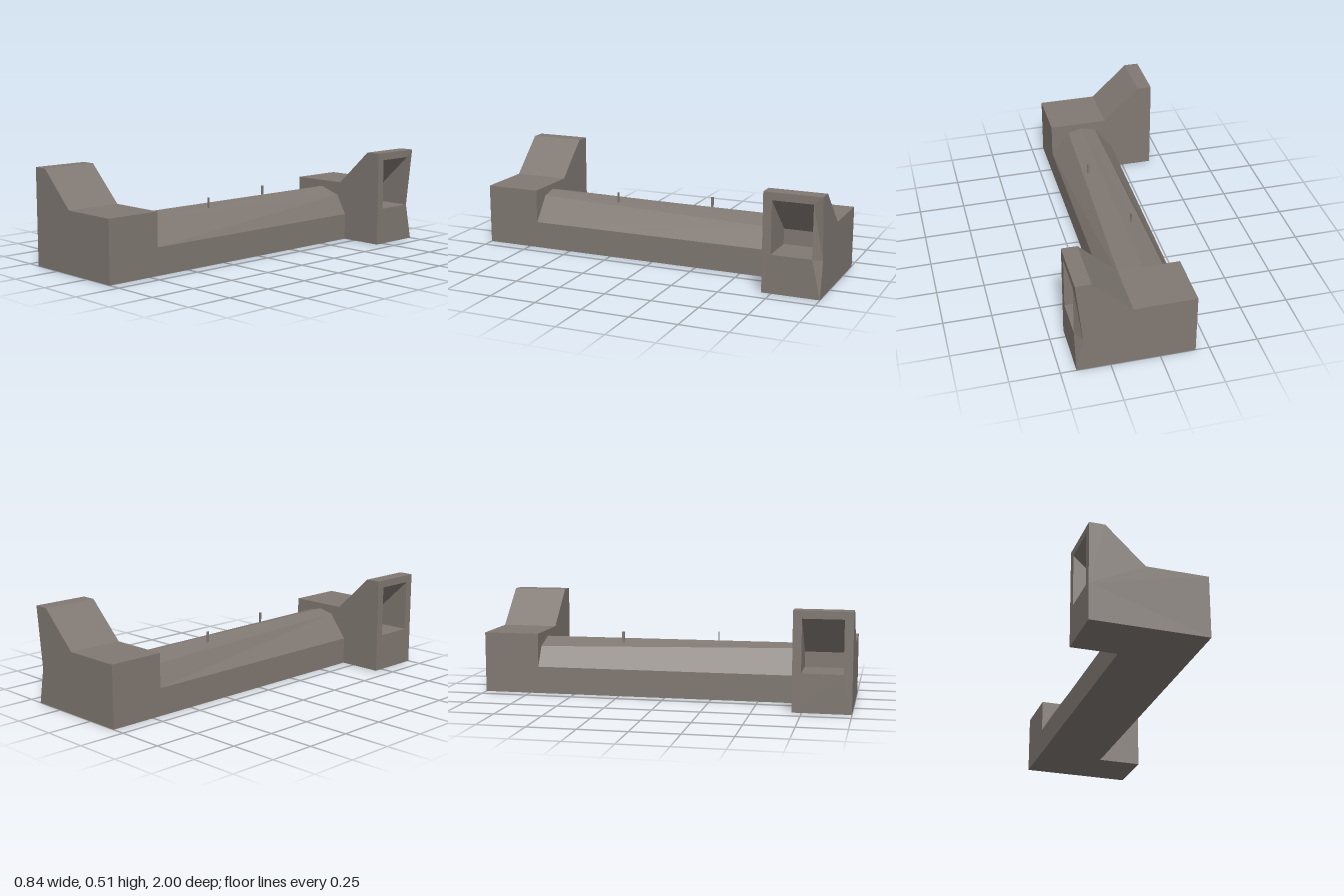
import * as THREE from 'three';

const stone = new THREE.MeshStandardMaterial({ color: 0x807872 });
const v = (x, y, z) => new THREE.Vector3(x, y, z);

// Flat-faced mesh from polygons, each fanned from its first corner
function facetedMesh(name, polygons) {
  const points = [];
  for (const p of polygons) {
    for (let i = 1; i < p.length - 1; i++) points.push(p[0], p[i], p[i + 1]);
  }
  const geometry = new THREE.BufferGeometry().setFromPoints(points);
  geometry.computeVertexNormals();
  const mesh = new THREE.Mesh(geometry, stone);
  mesh.name = name;
  return mesh;
}

// Polygons joining two matching rings of corners
function bridge(a, b) {
  return a.map((p, i) => {
    const j = (i + 1) % a.length;
    return [p, a[j], b[j], b[i]];
  });
}

// End block with a sloped shoulder and a hollow opening in its tall end
function endBlock(name, edgeX) {
  const inner = -0.7, outer = -1;
  const profile = [[0.42, 0], [0.42, 0.515], [0.34, 0.515], [0.14, 0.325], [-0.18, 0.325], [-0.18, 0]];
  const near = profile.map(([x, y]) => v(x, y, inner));
  const far = profile.map(([x, y]) => v(x, y, outer));
  const edge = v(edgeX, 0.19, outer); // point on the outer upright edge

  const ring = (x, y0, y1, z0, z1, xTop = x) =>
    [v(x, y0, z0), v(x, y0, z1), v(xTop, y1, z1), v(xTop, y1, z0)];
  const rim = ring(0.42, 0, 0.515, inner, outer);
  const opening = ring(0.42, 0.2, 0.475, -0.745, -0.955);
  const recess = ring(0.215, 0.2, 0.28, -0.745, -0.955);

  // Top, slope, low top, short end and underside
  const shell = near.map((p, i) => {
    const j = (i + 1) % near.length;
    return [p, far[i], far[j], near[j]];
  }).slice(1);

  // Tall end around the opening, with the outer strip meeting the edge point
  const frame = bridge(rim, opening);
  frame[1] = [edge, rim[2], opening[2], opening[1], rim[1]];

  const outerSide = [edge, far[0], ...far.slice(2).reverse(), far[1]];
  return facetedMesh(name, [near, outerSide, ...shell, ...frame, ...bridge(opening, recess), recess]);
}

// Long arched hall between the blocks, with a slightly different arch at each end
function hall() {
  const section = (z, shoulderX, shoulderY, topY) => [
    v(0.18, 0, z), v(0.18, 0.145, z), v(shoulderX, shoulderY, z), v(0, topY, z),
    v(-shoulderX, shoulderY, z), v(-0.18, 0.145, z), v(-0.18, 0, z),
  ];
  const front = section(0.7, 0.08, 0.275, 0.293);
  const back = section(-0.7, 0.12, 0.25, 0.29);
  const sides = front.map((p, i) => {
    const j = (i + 1) % front.length;
    return [p, back[i], back[j], front[j]];
  });
  return facetedMesh('archedHall', sides);
}

// Small upright plate on the roof
function pin(name, x, z, width, depth) {
  const mesh = new THREE.Mesh(new THREE.BoxGeometry(width, 0.06, depth), stone);
  mesh.position.set(x, 0.302, z);
  mesh.name = name;
  return mesh;
}

export function createModel() {
  const group = new THREE.Group();
  group.name = 'building';
  const frontBlock = endBlock('frontBlock', 0.42);
  frontBlock.rotation.y = Math.PI;
  group.add(
    hall(),
    frontBlock,
    endBlock('backBlock', 0.385),
    pin('frontRoofPin', 0.061, 0.253, 0.012, 0.005),
    pin('backRoofPin', -0.049, -0.255, 0.005, 0.014),
  );
  return group;
}
